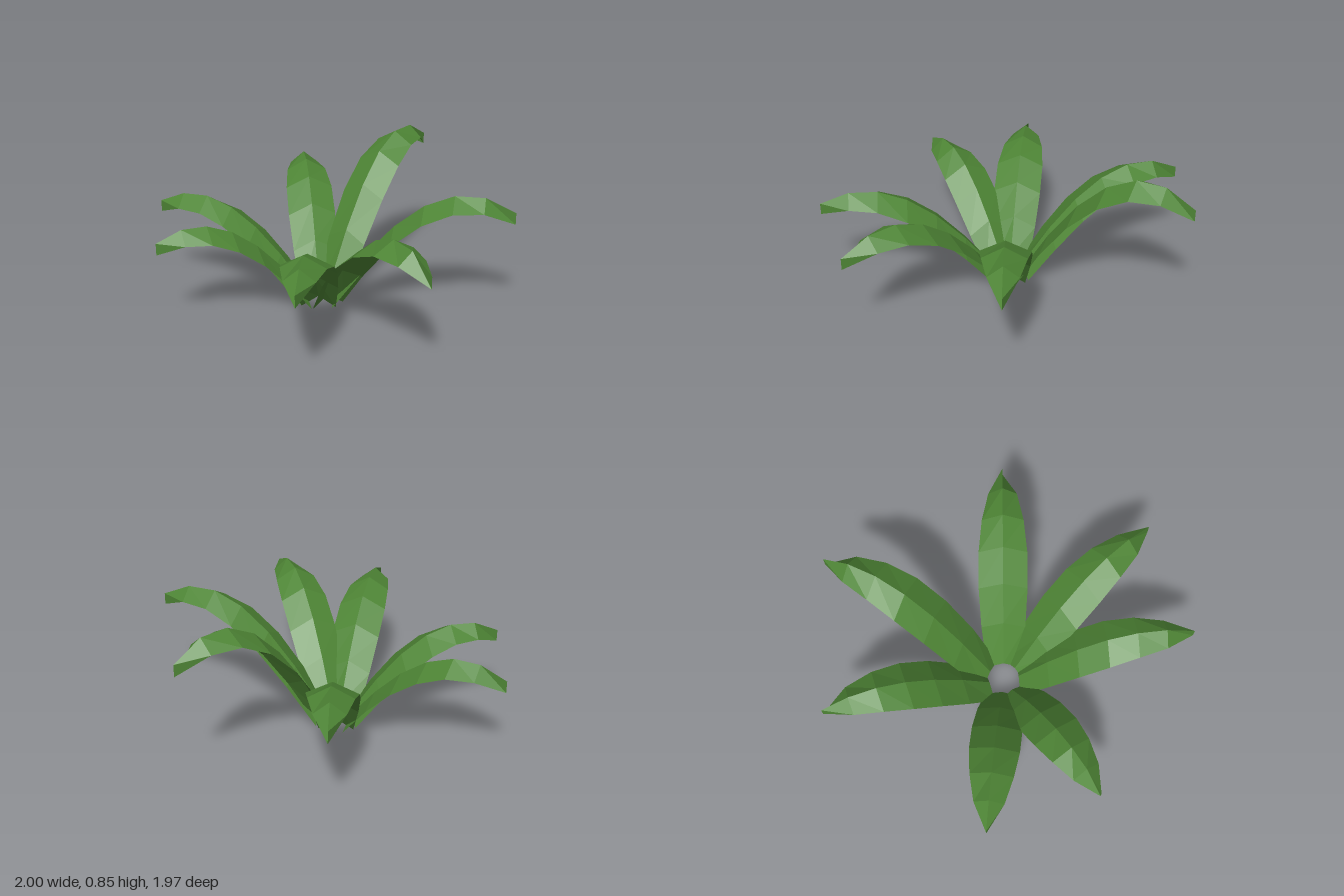
import * as THREE from 'three';

const leafGreen = new THREE.MeshStandardMaterial({ color: 0x4e8535, side: THREE.DoubleSide, flatShading: true });
leafGreen.name = 'leafGreen';

// Middle of the rosette and radius of the open ring at its base
const CENTRE = { x: -0.105, z: 0.077 };
const RING = 0.09;
const FOLD = 0.068; // height of the midrib above the leaf edges
const HALF_WIDTHS = [0.1, 0.13, 0.142, 0.14, 0.12, 0.083, 0];

// Leaf tips: x, z and height of the drooping end
const TIPS = [
  [-0.38, -0.985, 0.69],
  [0.74, -0.63, 0.56],
  [1.0, 0.25, 0.525],
  [0.67, 0.825, 0.475],
  [-0.38, 0.98, 0.437],
  [-0.925, 0.635, 0.45],
  [-1.0, -0.465, 0.5],
];

// Tent-folded arching strip running along +z
function leafGeometry(length, tipHeight) {
  const positions = [];
  const index = [];
  const last = HALF_WIDTHS.length - 1;
  HALF_WIDTHS.forEach((w, i) => {
    const t = i / last;
    const y = tipHeight * (2.712 * t - 1.712 * Math.pow(t, 2.3));
    const z = t * length;
    positions.push(-w, y, z, 0, y + FOLD, z, w, y, z);
    if (i === last) return;
    for (let k = 0; k < 2; k++) {
      const a = i * 3 + k, b = a + 1, d = a + 3, c = a + 4;
      index.push(a, d, b, d, c, b);
    }
  });
  const indexed = new THREE.BufferGeometry();
  indexed.setAttribute('position', new THREE.Float32BufferAttribute(positions, 3));
  indexed.setIndex(index);
  const geometry = indexed.toNonIndexed();
  geometry.computeVertexNormals();
  return geometry;
}

export function createModel() {
  const plant = new THREE.Group();
  plant.name = 'leafyPlant';
  TIPS.forEach(([x, z, height], i) => {
    const dx = x - CENTRE.x, dz = z - CENTRE.z;
    const reach = Math.hypot(dx, dz);
    const leaf = new THREE.Mesh(leafGeometry(reach - RING, height), leafGreen);
    leaf.name = `leaf${i + 1}`;
    leaf.position.set(CENTRE.x + (dx / reach) * RING, 0, CENTRE.z + (dz / reach) * RING);
    leaf.rotation.y = Math.atan2(dx, dz);
    plant.add(leaf);
  });
  return plant;
}
